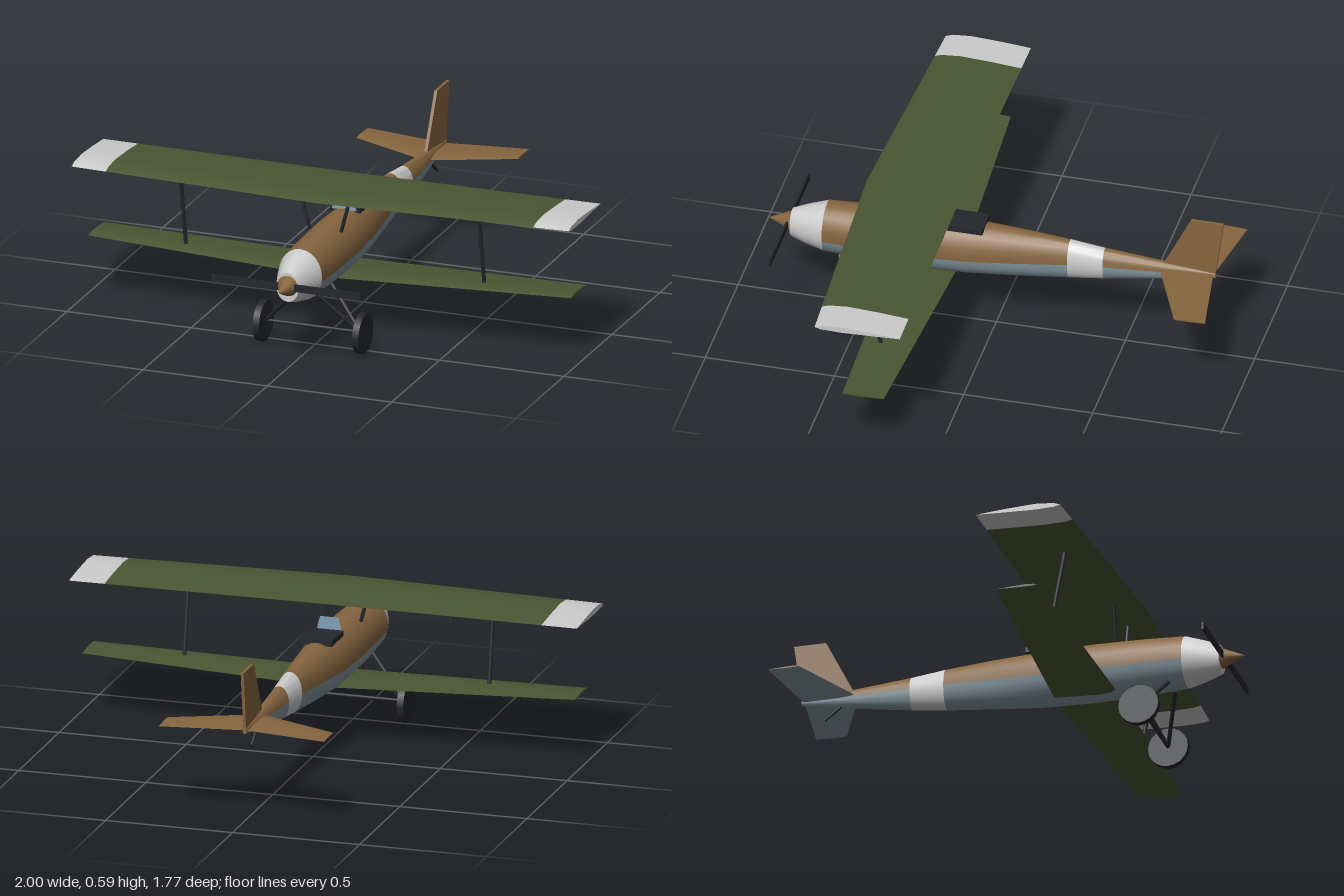
import * as THREE from 'three';
import { toCreasedNormals } from 'three/addons/utils/BufferGeometryUtils.js';

const material = (color) => new THREE.MeshStandardMaterial({ color, side: THREE.DoubleSide });
const MATS = {
  brown: material(0x86653f),
  belly: material(0x8496a0),
  green: material(0x4a5633),
  white: material(0xcccccc),
  dark: material(0x24262c),
  glass: material(0x7f9fba),
};

function part(name, geometry, mat) {
  const mesh = new THREE.Mesh(geometry, MATS[mat]);
  mesh.name = name;
  return mesh;
}

// Skin closed rings of points; paint(i, j) names the material of each panel.
function loft(name, rings, paint) {
  const n = rings[0].length, last = rings.length - 1, faces = {};
  const add = (mat, ...idx) => (faces[mat] ??= []).push(...idx);
  for (let i = 0; i < last; i++) {
    for (let j = 0; j < n; j++) {
      const k = (j + 1) % n, a = i * n, b = a + n;
      add(paint(i, j), a + j, b + j, a + k, a + k, b + j, b + k);
    }
  }
  for (let j = 1; j < n - 1; j++) {
    add(paint(0, 0), 0, j, j + 1);
    add(paint(last - 1, 0), last * n, last * n + j + 1, last * n + j);
  }
  const group = new THREE.Group();
  group.name = name;
  const position = new THREE.Float32BufferAttribute(rings.flat(2), 3);
  for (const [mat, index] of Object.entries(faces)) {
    const geo = new THREE.BufferGeometry();
    geo.setAttribute('position', position);
    geo.setIndex(index);
    group.add(part(`${name} ${mat}`, toCreasedNormals(geo, 0.6), mat));
  }
  return group;
}

// Airfoil outline [chord fraction, height fraction]: nose, over the top, tail, underside.
const AIRFOIL = [[0, 0.35], [0.08, 0.75], [0.3, 1], [0.65, 0.75], [1, 0.35],
  [0.65, 0.15], [0.3, 0], [0.08, 0.1]];
const airfoil = (x, lead, trail, y, thick) =>
  AIRFOIL.map(([c, h]) => [x, y + h * thick, lead + (trail - lead) * c]);

// Round rod between two points.
function rod(name, from, to, radius, mat = 'dark') {
  const a = new THREE.Vector3(...from), b = new THREE.Vector3(...to);
  const dir = b.clone().sub(a);
  const mesh = part(name, new THREE.CylinderGeometry(radius, radius, dir.length(), 8), mat);
  mesh.position.copy(a).add(b).multiplyScalar(0.5);
  mesh.quaternion.setFromUnitVectors(new THREE.Vector3(0, 1, 0), dir.normalize());
  return mesh;
}

function fuselage() {
  // z, bottom, top, half width, height of the colour line (-1..1)
  const stations = [
    [0.79, 0.265, 0.38, 0.045, -0.2], [0.73, 0.245, 0.405, 0.066, -0.2],
    [0.655, 0.227, 0.43, 0.087, -0.2], [0.5, 0.219, 0.438, 0.092, -0.2],
    [0.3, 0.215, 0.442, 0.094, -0.2], [0.1, 0.22, 0.438, 0.087, -0.15],
    [-0.1, 0.236, 0.43, 0.067, -0.1], [-0.285, 0.255, 0.418, 0.048, 0],
    [-0.42, 0.272, 0.402, 0.039, 0.1], [-0.65, 0.308, 0.383, 0.024, 0.1],
    [-0.85, 0.342, 0.367, 0.008, 0],
  ];
  const half = 14;
  const rings = stations.map(([z, lo, hi, w, s]) => {
    const start = Math.asin(s), ring = [];
    for (let j = 0; j < 2 * half; j++) {
      const t = j < half
        ? start + (Math.PI - 2 * start) * (j / half)
        : Math.PI - start + (Math.PI + 2 * start) * (j / half - 1);
      ring.push([w * Math.cos(t), (lo + hi) / 2 + (hi - lo) / 2 * Math.sin(t), z]);
    }
    return ring;
  });
  return loft('fuselage', rings, (i, j) =>
    (i < 2 || i === 7) ? 'white' : j < half ? 'brown' : 'belly');
}

export function createModel() {
  const model = new THREE.Group();
  model.add(fuselage());

  // Wings
  const upper = [-1, -0.86, 0, 0.86, 1].map((x) => {
    const d = Math.abs(x);
    return airfoil(x, 0.5 - 0.05 * d, 0.13 - 0.01 * d, 0.553, 0.024);
  });
  model.add(loft('upperWing', upper, (i) => (i === 0 || i === 3) ? 'white' : 'green'));

  const lower = [-0.97, 0, 0.97].map((x) => x
    ? airfoil(x, 0.35, 0.19, 0.254, 0.01)
    : airfoil(x, 0.39, 0.145, 0.222, 0.022));
  model.add(loft('lowerWing', lower, () => 'green'));

  // Tail surfaces
  const tail = [-0.325, 0, 0.325].map((x) => x
    ? airfoil(x, -0.77, -0.89, 0.352, 0.007)
    : airfoil(x, -0.63, -0.84, 0.349, 0.014));
  model.add(loft('tailplane', tail, (i, j) => j < 4 ? 'brown' : 'belly'));

  const finShape = new THREE.Shape([[-0.645, 0.37], [-0.755, 0.59], [-0.88, 0.59], [-0.85, 0.365]]
    .map(([z, y]) => new THREE.Vector2(z, y)));
  const finGeo = new THREE.ExtrudeGeometry(finShape, { depth: 0.012, bevelEnabled: false });
  finGeo.rotateY(-Math.PI / 2).translate(0.006, 0, 0);
  model.add(part('fin', finGeo, 'brown'));
  model.add(rod('tailSkid', [0, 0.335, -0.68], [0, 0.27, -0.765], 0.006));

  // Cockpit opening and windscreen
  const cockpit = part('cockpit', new THREE.BoxGeometry(0.12, 0.02, 0.15), 'dark');
  cockpit.position.set(0, 0.434, 0.115);
  model.add(cockpit);
  const screen = new THREE.Shape([[-0.05, 0.435], [0.05, 0.435], [0.036, 0.49], [-0.036, 0.49]]
    .map(([x, y]) => new THREE.Vector2(x, y)));
  model.add(part('windscreen', new THREE.ShapeGeometry(screen).translate(0, 0, 0.2), 'glass'));

  // Spinner and propeller
  const spinner = part('spinner', new THREE.ConeGeometry(0.043, 0.095, 20), 'brown');
  spinner.rotation.x = Math.PI / 2;
  spinner.position.set(0, 0.328, 0.8325);
  const propeller = part('propeller', new THREE.BoxGeometry(0.6, 0.028, 0.008), 'dark');
  propeller.position.set(0, 0.328, 0.802);
  model.add(spinner, propeller);

  // Struts, undercarriage legs and wheels, mirrored
  for (const s of [-1, 1]) {
    model.add(
      rod('wingStrut', [s * 0.6, 0.562, 0.353], [s * 0.6, 0.245, 0.293], 0.008),
      rod('cabaneStrut', [s * 0.1, 0.56, 0.395], [s * 0.063, 0.42, 0.395], 0.007),
      rod('frontLeg', [s * 0.045, 0.235, 0.595], [s * 0.19, 0.08, 0.525], 0.008),
      rod('rearLeg', [s * 0.045, 0.235, 0.455], [s * 0.19, 0.08, 0.525], 0.008),
    );
    const wheel = part('wheel', new THREE.CylinderGeometry(0.078, 0.078, 0.026, 20), 'dark');
    wheel.rotation.z = Math.PI / 2;
    wheel.position.set(s * 0.2, 0.078, 0.525);
    model.add(wheel);
  }
  model.add(rod('axle', [-0.2, 0.08, 0.525], [0.2, 0.08, 0.525], 0.007));

  return model;
}
